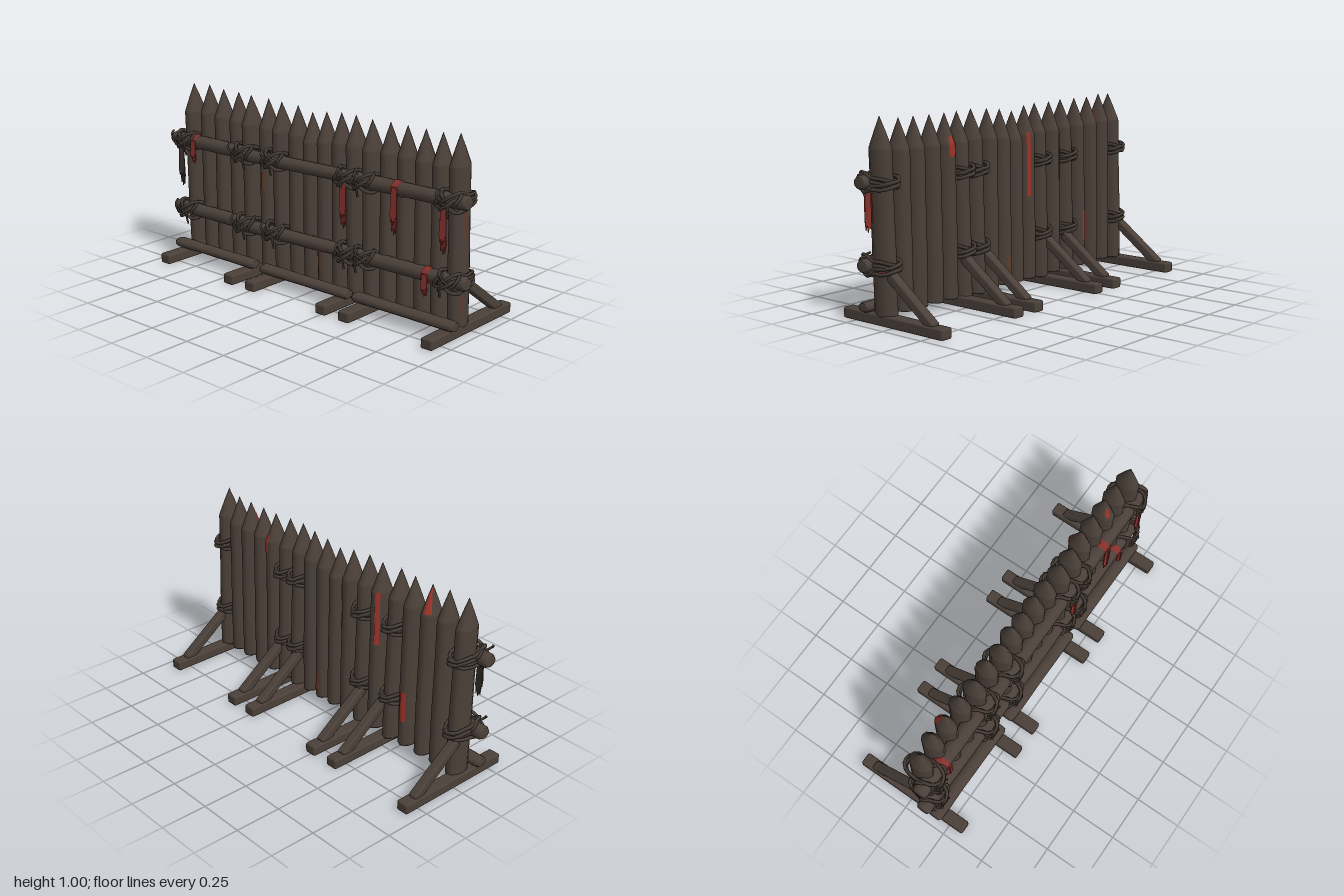
import * as THREE from 'three';
import { RoundedBoxGeometry } from 'three/addons/geometries/RoundedBoxGeometry.js';

const flat = (name, color, side = THREE.FrontSide) => {
  const m = new THREE.MeshStandardMaterial({ color, side });
  m.name = name;
  return m;
};

export function createModel() {
  const root = new THREE.Group();
  root.name = 'palisade';
  const wood = flat('dark wood', 0x4b4039);
  const rope = flat('rope', 0x453b34);
  const cloth = flat('red cloth', 0x85302b, THREE.DoubleSide);
  const rag = flat('brown rag', 0x3c322d, THREE.DoubleSide);
  const paint = flat('red stain', 0x9c3229, THREE.DoubleSide);
  const rust = flat('rust stain', 0x5e3a2a, THREE.DoubleSide);

  let seed = 7;
  const rnd = () => ((seed = (seed * 16807) % 2147483647) / 2147483647);
  const v = (x, y, z) => new THREE.Vector3(x, y, z);
  const add = (parent, name, geo, mat) => {
    const m = new THREE.Mesh(geo, mat);
    m.name = name;
    parent.add(m);
    return m;
  };

  // Round log with bevelled ends between two points; rx is across, rz is depth
  const log = (name, a, b, rx, rz) => {
    const L = a.distanceTo(b);
    const pts = [[0, 0], [0.78, 0], [0.82, 0.004], [1, 0.014]];
    for (let i = 1; i < 6; i++) pts.push([0.96 + rnd() * 0.08, (L * i) / 6]);
    pts.push([1, L - 0.014], [0.82, L - 0.004], [0.78, L], [0, L]);
    const g = new THREE.LatheGeometry(pts.map(p => new THREE.Vector2(p[0], p[1])), 12);
    g.scale(rx, 1, rz);
    const m = add(root, name, g, wood);
    m.position.copy(a);
    m.quaternion.setFromUnitVectors(v(0, 1, 0), b.clone().sub(a).normalize());
    return m;
  };

  // Sharpened stakes
  const xs = [-0.89, -0.775, -0.67, -0.555, -0.445, -0.33, -0.225, -0.12, -0.02,
    0.075, 0.175, 0.28, 0.385, 0.485, 0.59, 0.7, 0.8, 0.905];
  const tops = [0.995, 1, 0.99, 0.99, 0.99, 0.985, 0.985, 0.98, 0.958,
    0.975, 0.985, 0.99, 0.985, 0.985, 0.985, 0.985, 0.985, 1];
  const posts = [0, 4, 6, 11, 12, 17];
  const stakes = xs.map((x, i) => {
    const isPost = posts.includes(i), base = isPost ? 0.045 : 0.055;
    const h = tops[i] - base, s = h - 0.152;
    const prof = [[0, 0], [0.95, 0], [1, 0.008], [1.03, h * 0.3], [0.99, h * 0.6],
      [1, s - 0.006], [0.985, s], [0.95, s + 0.008], [0.48, s + 0.082], [0, h]];
    const g = new THREE.Group();
    g.name = 'stake';
    const geo = new THREE.LatheGeometry(prof.map(p => new THREE.Vector2(p[0], p[1])), 12);
    geo.scale(0.043, 1, isPost ? 0.067 : 0.063);
    add(g, 'stakeBody', geo, wood);
    g.position.set(x, base, 0.07);
    g.rotation.x = isPost ? 0.026 : 0.012;
    g.rotation.z = (rnd() - 0.5) * 0.006;
    root.add(g);
    return { g, s, h, base, rz: isPost ? 0.067 : 0.063 };
  });

  // Thin stains that follow the surface of a stake
  const stain = (i, y0, y1, phi, width, mat) => {
    const { g, s, h, base, rz } = stakes[i];
    const pts = [];
    for (let k = 0; k <= 8; k++) {
      const y = y0 + ((y1 - y0) * k) / 8 - base;
      const r = y > s ? Math.max(0, (h - y) / (h - s)) * 1.02 : 1.03;
      pts.push(new THREE.Vector2(r + 0.025, y));
    }
    const geo = new THREE.LatheGeometry(pts, 4, phi - width / 2, width);
    geo.scale(0.043, 1, rz);
    add(g, 'stain', geo, mat);
  };
  const PI = Math.PI;
  stain(2, 0.85, 0.97, PI + 0.5, 0.9, paint);
  stain(5, 0.55, 0.84, PI + 0.6, 0.5, paint);
  stain(7, 0.5, 0.84, PI - 0.6, 0.4, paint);
  stain(3, 0.2, 0.37, PI + 0.2, 0.7, paint);
  stain(13, 0.77, 0.87, PI - 0.2, 0.7, paint);
  stain(17, 0.262, 0.292, PI / 2 + 0.35, 0.5, paint);
  stain(15, 0.86, 0.92, -0.7, 0.6, paint);
  stain(5, 0.5, 0.6, 0.2, 0.5, rust);
  stain(9, 0.1, 0.22, PI, 0.6, rust);
  stain(9, 0.12, 0.24, 0, 0.5, rust);
  stain(17, 0.5, 0.64, PI / 2 - 0.25, 0.3, rust);
  stain(17, 0.12, 0.23, PI / 2 - 0.5, 0.3, rust);

  // Horizontal rails, each in three overlapping lengths
  for (const [y, z] of [[0.685, 0.143], [0.288, 0.135]]) {
    log('rail', v(-1, y - 0.002, z), v(-0.39, y - 0.002, z), 0.036, 0.042);
    log('rail', v(-0.47, y - 0.01, z + 0.006), v(0.33, y + 0.002, z + 0.004), 0.033, 0.04);
    log('rail', v(0.24, y - 0.004, z), v(1, y + 0.003, z), 0.036, 0.042);
  }
  // Kickboards along the front
  for (const [a, b, y] of [[-0.965, -0.355, 0.082], [-0.3, 0.305, 0.077], [0.345, 0.965, 0.079]])
    log('kickboard', v(a, y, 0.172), v(b, y, 0.172), 0.026, 0.038);

  // Feet and diagonal braces behind
  const feet = [-0.912, -0.41, -0.25, 0.248, 0.4, 0.912];
  for (const x of feet) {
    add(root, 'foot', new RoundedBoxGeometry(0.068, 0.055, 0.664, 2, 0.01), wood)
      .position.set(x, 0.0275, 0);
    const a = v(x, 0.252, 0.03), b = v(x, 0.042, -0.255), d = b.clone().sub(a);
    const brace = add(root, 'brace', new RoundedBoxGeometry(0.05, 0.05, d.length(), 2, 0.012), wood);
    brace.position.copy(a).add(b).multiplyScalar(0.5);
    brace.rotation.x = -Math.atan2(d.y, d.z);
  }

  // Rope lashings: crossed loops round stake and rail, with wraps and loose ends
  const tube = (parent, pts, r, closed) => add(parent, 'rope', new THREE.TubeGeometry(
    new THREE.CatmullRomCurve3(pts, closed), closed ? 24 : 8, r, 5, closed), rope);
  const lashing = (x, y, zc) => {
    const g = new THREE.Group();
    g.name = 'lashing';
    for (const dir of [-1, 1])
      for (const off of [-0.011, 0.011]) {
        const pts = [];
        for (let k = 0; k < 14; k++) {
          const t = (k / 14) * PI * 2, c = Math.cos(t), s = Math.sin(t);
          const front = Math.max(0, s);
          pts.push(v(0.058 * Math.sign(c) * Math.abs(c) ** 0.7,
            dir * c * 0.04 * (0.5 + front) + off * (1 + front * 0.4) + (rnd() - 0.5) * 0.006,
            s * 0.102 + 0.004 * dir));
        }
        tube(g, pts, 0.0095, true);
      }
    for (const wx of [-0.055, 0.05]) {
      const pts = [];
      for (let k = 0; k < 10; k++) {
        const t = (k / 10) * PI * 2;
        pts.push(v(wx + 0.016 * Math.sin(t * 2), 0.043 * Math.sin(t), 0.042 + 0.046 * Math.cos(t)));
      }
      tube(g, pts, 0.009, true);
    }
    const e = (rnd() - 0.5) * 0.06;
    tube(g, [v(e, 0.01, 0.1), v(e + 0.01, -0.03, 0.108), v(e + 0.004, -0.075, 0.092)], 0.006, false);
    tube(g, [v(-e, 0, 0.1), v(-e - 0.03, 0.03, 0.12), v(-e - 0.045, 0.05, 0.09)], 0.006, false);
    g.position.set(x, y, zc);
    root.add(g);
  };
  for (const i of posts) {
    lashing(xs[i], 0.685, 0.1);
    lashing(xs[i], 0.288, 0.096);
  }

  // Torn strips tied over the rails
  const strip = (x, yTop, yBot, w, mat, yRail, z) => {
    const g = new THREE.Group();
    g.name = 'clothStrip';
    if (yRail) {
      const band = new THREE.CylinderGeometry(0.043, 0.043, w * 0.9, 12, 1, true);
      band.rotateZ(PI / 2);
      band.scale(1, 0.95, 1.12);
      add(g, 'clothBand', band, mat).position.set(x, yRail, z - 0.045);
    }
    for (const layer of [0, 1]) {
      const h = (yTop - yBot) * (layer ? 0.78 : 1), q = w / 2, sh = new THREE.Shape();
      sh.moveTo(-q * 0.75, 0);
      sh.lineTo(q * 0.75, 0);
      [[0.85, -0.35], [1.05, -0.72], [0.75, -0.95], [0.5, -0.82], [0.25, -1],
        [-0.1, -0.86], [-0.4, -0.93], [-0.6, -0.74], [-0.9, -0.7], [-0.8, -0.35]]
        .forEach(([a, b]) => sh.lineTo(a * q, b * h));
      const geo = new THREE.ExtrudeGeometry(sh, { depth: 0.006, bevelEnabled: false });
      const m = add(g, 'clothTail', geo, mat);
      m.position.set(x + (layer ? 0.006 : 0), yTop, z + (layer ? 0.004 : -0.004));
      m.rotation.y = layer ? 0.25 : -0.15;
      if (layer) m.scale.x = -0.8;
    }
    root.add(g);
  };
  strip(-0.808, 0.7, 0.57, 0.045, cloth, 0.683, 0.188);
  strip(0.28, 0.66, 0.43, 0.05, cloth, 0, 0.195);
  strip(0.594, 0.7, 0.46, 0.048, cloth, 0.684, 0.188);
  strip(0.892, 0.66, 0.43, 0.048, cloth, 0, 0.195);
  strip(0.778, 0.305, 0.19, 0.045, cloth, 0.288, 0.18);
  strip(-0.9, 0.65, 0.43, 0.05, rag, 0, 0.19);

  return root;
}
